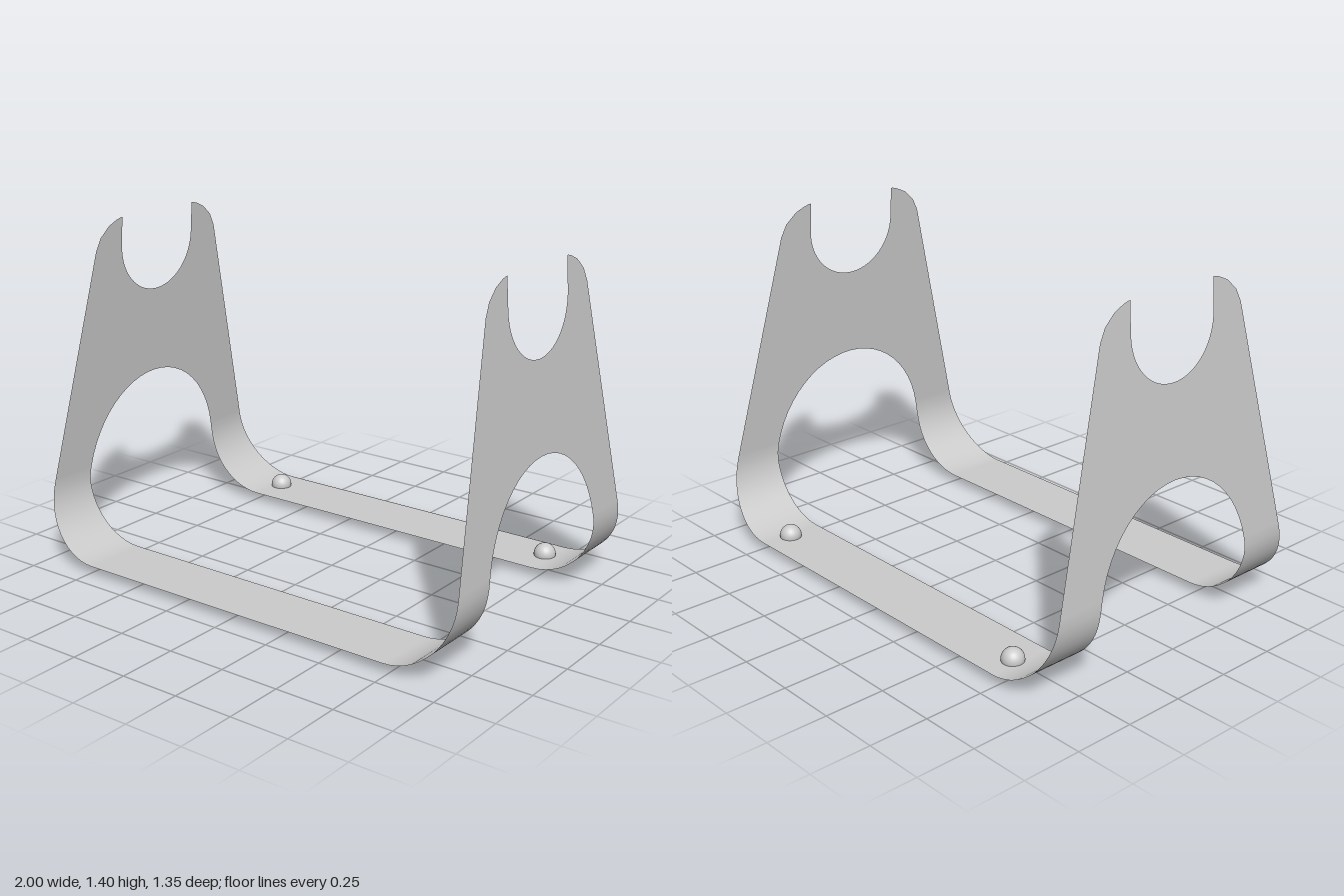
import * as THREE from 'three';

const BASE = 0.038, TOP = 1.405, BEND = 0.27, BEND_X = 0.73;
const ARCH = { y: 0.24, w: 0.4, h: 0.448 };
const NOTCH = { y: 1.28, w: 0.216, h: 0.22 };
const TIP = [[0.675, BASE], [0.368, 1.283], [0.342, 1.335], [0.294, 1.378], [0.25, 1.398], [0.225, TOP]];

// Outer edge of the sheet: straight taper, then a rounded prong
function outerZ(y) {
  for (let i = 1; i < TIP.length; i++) {
    const [z0, y0] = TIP[i - 1], [z1, y1] = TIP[i];
    if (y <= y1 + 1e-6) return z0 + (z1 - z0) * (y - y0) / (y1 - y0);
  }
  return TIP[TIP.length - 1][0];
}

// Inner edge: arch opening below, solid web, cradle notch above
function innerZ(y) {
  const half = (o, t) => o.w * Math.sqrt(Math.max(0, 1 - t * t));
  if (y <= ARCH.y) return ARCH.w;
  if (y < ARCH.y + ARCH.h) return half(ARCH, (y - ARCH.y) / ARCH.h);
  if (y <= NOTCH.y - NOTCH.h) return 0;
  if (y < NOTCH.y) return half(NOTCH, (NOTCH.y - y) / NOTCH.h);
  return NOTCH.w;
}

// Bent path of one side, from the middle of the rail to the prong tip
function sidePath() {
  const lean = 0.069, path = [[0, BASE]];
  for (let i = 0; i <= 14; i++) {
    const a = -Math.PI / 2 + (Math.PI / 2 + lean) * i / 14;
    path.push([BEND_X + BEND * Math.cos(a), BASE + BEND + BEND * Math.sin(a)]);
  }
  const [x0, y0] = path[path.length - 1];
  const ys = TIP.slice(1).map(p => p[1]);
  for (let i = 0; i <= 14; i++) {
    const a = Math.PI / 2 * i / 14;
    ys.push(ARCH.y + ARCH.h * Math.sin(a), NOTCH.y - NOTCH.h * Math.cos(a));
  }
  ys.filter(y => y > y0 + 0.004).sort((a, b) => a - b).forEach(y => {
    if (y - path[path.length - 1][1] > 1e-4) path.push([x0 + (0.925 - x0) * (y - y0) / (TOP - y0), y]);
  });
  return path;
}

// Half of the bent sheet on the front (s = 1) or back (s = -1)
function sheetHalf(s) {
  const side = sidePath();
  const path = [...side.slice(1).reverse().map(([x, y]) => [-x, y]), ...side];
  const pos = [], idx = [];
  path.forEach(([x, y], i) => {
    pos.push(x, y, s * innerZ(y), x, y, s * outerZ(y));
    if (i === 0) return;
    const a = 2 * i - 2, b = a + 1, c = a + 2, d = a + 3;
    if (s > 0) idx.push(a, b, c, b, d, c);
    else idx.push(a, c, b, b, c, d);
  });
  const g = new THREE.BufferGeometry();
  g.setAttribute('position', new THREE.Float32BufferAttribute(pos, 3));
  g.setIndex(idx);
  g.computeVertexNormals();
  return g;
}

export function createModel() {
  const group = new THREE.Group();
  const sheetMat = new THREE.MeshStandardMaterial({ color: 0xcccccc, side: THREE.DoubleSide });
  const footMat = new THREE.MeshStandardMaterial({ color: 0xcccccc });

  // Bent sheet cradle
  for (const s of [1, -1]) {
    const half = new THREE.Mesh(sheetHalf(s), sheetMat);
    half.name = s > 0 ? 'frontCradleHalf' : 'backCradleHalf';
    group.add(half);
  }

  // Ball feet set through the back rail
  for (const s of [1, -1]) {
    const foot = new THREE.Mesh(new THREE.SphereGeometry(0.046, 24, 16), footMat);
    foot.position.set(s * 0.705, 0.046, -0.55);
    foot.name = s > 0 ? 'leftBallFoot' : 'rightBallFoot';
    group.add(foot);
  }
  return group;
}
